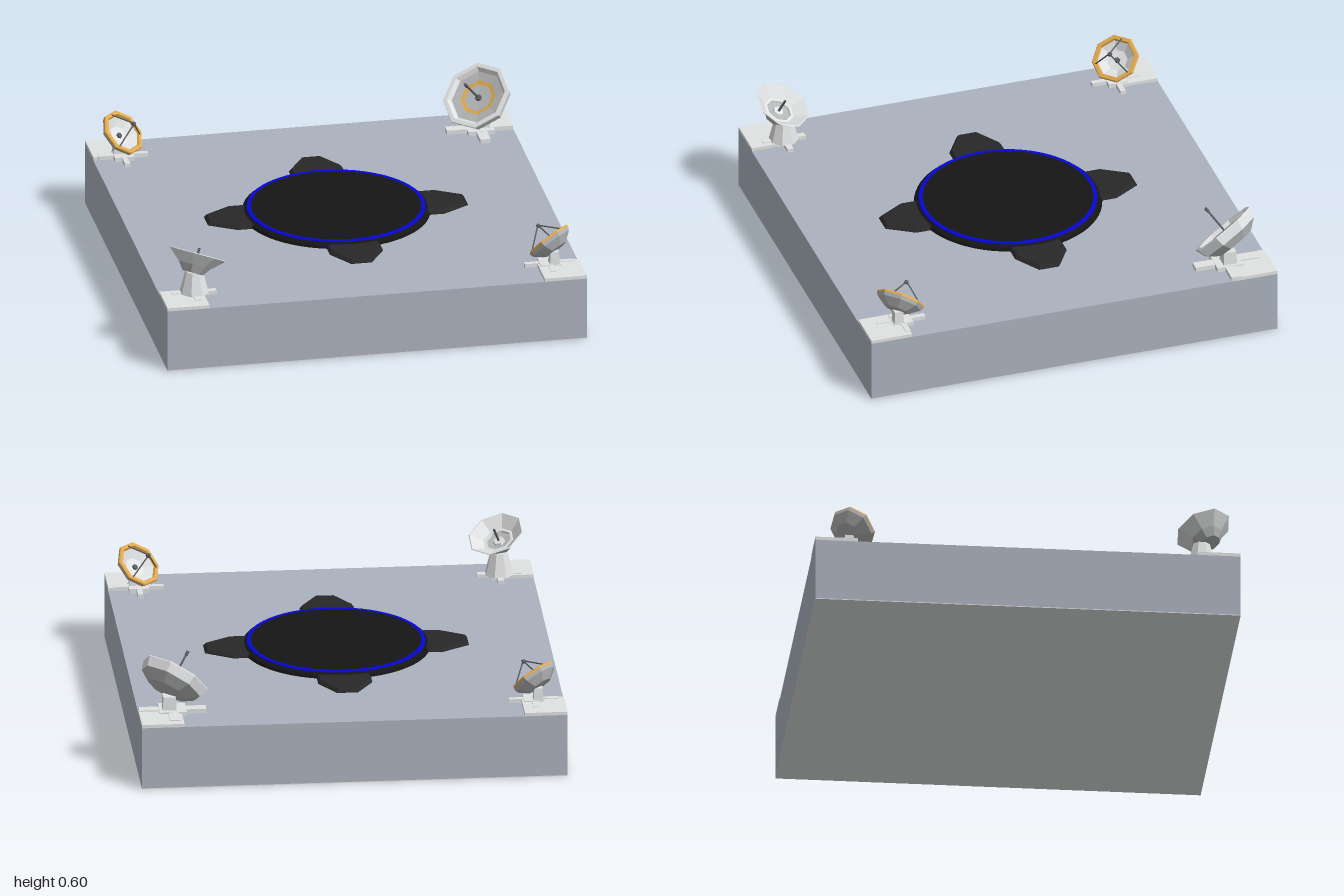
import * as THREE from 'three';

const paint = (name, color) => {
  const m = new THREE.MeshStandardMaterial({ color, flatShading: true });
  m.name = name;
  return m;
};

export function createModel() {
  const mat = {
    slab: paint('blue grey', 0xabb2be),
    pale: paint('pale grey', 0xe0e1e2),
    panel: paint('panel grey', 0xb4b5b6),
    steel: paint('dark steel', 0x5c5e63),
    gold: paint('gold', 0xe0a84c),
    black: paint('black', 0x151515),
    char: paint('charcoal', 0x282828),
    blue: paint('blue', 0x0606d8),
  };
  const model = new THREE.Group();
  const add = (parent, name, geo, material, x = 0, y = 0, z = 0) => {
    const m = new THREE.Mesh(geo, material);
    m.name = name;
    m.position.set(x, y, z);
    parent.add(m);
    return m;
  };
  const lathe = (pts, sides, phi = 0) =>
    new THREE.LatheGeometry(pts.map(p => new THREE.Vector2(...p)), sides, phi);

  // Slab with a pale underside, and a pad in each corner
  add(model, 'slab', new THREE.BoxGeometry(2, 0.301, 2), mat.slab, 0, 0.1545, 0);
  add(model, 'underside', new THREE.BoxGeometry(2, 0.004, 2), mat.pale, 0, 0.002, 0);
  for (const sx of [-1, 1]) for (const sz of [-1, 1])
    add(model, 'cornerPad', new THREE.BoxGeometry(0.2, 0.017, 0.2), mat.pale, sx * 0.9, 0.3125, sz * 0.9);

  // Central round platform with a blue ring
  add(model, 'platformEdge', lathe([[0.442, 0.304], [0.438, 0.318], [0.415, 0.333], [0, 0.333]], 64), mat.black);
  add(model, 'platformTop', new THREE.CylinderGeometry(0.402, 0.402, 0.003, 64), mat.black, 0, 0.3335, 0);
  add(model, 'blueRing', lathe([[0.42, 0.329], [0.418, 0.336], [0.4, 0.336], [0.4, 0.331]], 64), mat.blue);

  // Four tapered arms with a bevelled rim
  const armShape = new THREE.Shape([
    [-0.115, 0.36], [0.115, 0.36], [0.115, 0.49], [0.042, 0.608], [-0.042, 0.608], [-0.115, 0.49],
  ].map(p => new THREE.Vector2(...p)));
  const armGeo = new THREE.ExtrudeGeometry(armShape, {
    depth: 0.004, bevelEnabled: true, bevelThickness: 0.015, bevelSize: 0.012, bevelSegments: 1,
  });
  armGeo.rotateX(Math.PI / 2);
  for (let i = 0; i < 4; i++)
    add(model, 'platformArm', armGeo, mat.char, 0, 0.308, 0).rotation.y = i * Math.PI / 2;

  // Bar between two points
  const bar = (parent, name, a, b, r, material) => {
    const from = new THREE.Vector3(...a), d = new THREE.Vector3(...b).sub(from);
    const m = add(parent, name, new THREE.CylinderGeometry(r, r, d.length(), 5), material);
    m.position.copy(from).addScaledVector(d, 0.5);
    m.quaternion.setFromUnitVectors(new THREE.Vector3(0, 1, 0), d.normalize());
  };

  // Group whose local y axis points towards the platform; its origin is the rim centre
  const aim = (name, x, y, z, elevation) => {
    const g = new THREE.Group();
    g.name = name;
    g.position.set(x, y, z);
    g.rotation.order = 'YXZ';
    g.rotation.set(Math.PI / 2 - elevation, Math.atan2(-Math.sign(x), -Math.sign(z)), 0);
    model.add(g);
    return g;
  };

  // Cross-shaped foot
  const foot = (x, z, reach, width, top) => {
    const h = top - 0.304, y = 0.304 + h / 2;
    add(model, 'footBar', new THREE.BoxGeometry(reach * 2, h, width), mat.pale, x, y, z);
    add(model, 'footBar', new THREE.BoxGeometry(width, h, reach * 2), mat.pale, x, y, z);
    add(model, 'footPlate', new THREE.BoxGeometry(reach * 0.8, h + 0.003, reach * 0.8), mat.pale, x, y, z);
  };
  const post = (x, z, top, rTop, rBase, sides) =>
    add(model, 'post', new THREE.CylinderGeometry(rTop, rBase, top - 0.32, sides), mat.pale, x, (top + 0.32) / 2, z)
      .rotation.y = Math.PI / sides;
  const P8 = Math.PI / 8;

  // Two small gold-rimmed dishes with tripods, at opposite corners
  for (const s of [-1, 1]) {
    const x = s * 0.857, z = s * 0.81;
    foot(x, z, 0.118, 0.025, 0.324);
    post(x + s * 0.02, z + s * 0.02, 0.385, 0.028, 0.034, 4);
    const g = aim('smallDish', x, 0.432, z, 0.77);
    add(g, 'dishBack', lathe([[0, -0.055], [0.06, -0.055], [0.108, -0.02], [0.116, -0.004]], 8, P8), mat.panel);
    add(g, 'goldRim', lathe([[0.116, -0.004], [0.116, 0.003], [0.112, 0.008], [0.096, 0.008], [0.091, -0.004]], 8, P8), mat.gold);
    add(g, 'dishInside', lathe([[0.091, -0.004], [0.05, -0.03], [0, -0.034]], 8, P8), mat.pale);
    add(g, 'hub', new THREE.CylinderGeometry(0.014, 0.014, 0.012, 6), mat.steel, 0, -0.03, 0);
    add(g, 'feed', new THREE.CylinderGeometry(0.008, 0.012, 0.016, 6), mat.steel, 0, 0.085, 0);
    for (let i = 0; i < 3; i++) {
      const a = Math.PI + i * Math.PI * 2 / 3;
      bar(g, 'strut', [0.1 * Math.sin(a), 0.004, 0.1 * Math.cos(a)], [0, 0.088, 0], 0.0035, mat.steel);
    }
  }

  // Large shallow dish with a gold inlay
  foot(0.84, -0.8, 0.158, 0.05, 0.326);
  post(0.855, -0.805, 0.392, 0.042, 0.046, 4);
  const big = aim('largeDish', 0.825, 0.487, -0.79, 0.77);
  add(big, 'dishBack', lathe([[0, -0.085], [0.1, -0.085], [0.155, -0.045]], 8, P8), mat.panel);
  add(big, 'dishRim', lathe([[0.155, -0.045], [0.17, 0], [0.168, 0.005], [0.148, 0.005], [0.132, -0.014]], 8, P8), mat.pale);
  add(big, 'dishInside', lathe([[0.132, -0.014], [0.089, -0.021]], 8, P8), mat.panel);
  add(big, 'goldInlay', lathe([[0.089, -0.021], [0.07, -0.024]], 8, P8), mat.gold);
  add(big, 'dishCentre', lathe([[0.07, -0.024], [0, -0.028]], 8, P8), mat.panel);
  bar(big, 'feedRod', [0, -0.03, 0], [0, 0.12, 0], 0.005, mat.steel);
  add(big, 'feedTip', new THREE.CylinderGeometry(0.008, 0.008, 0.022, 6), mat.steel, 0, 0.12, 0);
  add(big, 'feedBase', new THREE.CylinderGeometry(0.014, 0.018, 0.014, 6), mat.steel, 0, -0.022, 0);

  // Medium dish with flared petals on a tapered mast
  foot(-0.84, 0.83, 0.105, 0.03, 0.324);
  post(-0.84, 0.83, 0.43, 0.042, 0.07, 8);
  const mid = aim('mediumDish', -0.825, 0.515, 0.84, 1.08);
  add(mid, 'dishBack', lathe([[0, -0.09], [0.05, -0.09], [0.078, -0.052]], 8, P8), mat.panel);
  add(mid, 'dishPetals', lathe([[0.078, -0.052], [0.138, 0], [0.133, 0.003], [0.076, -0.04], [0.062, -0.04], [0.06, -0.05]], 8, P8), mat.pale);
  add(mid, 'dishInside', lathe([[0.06, -0.05], [0, -0.058]], 8, P8), mat.panel);
  add(mid, 'hub', new THREE.CylinderGeometry(0.026, 0.032, 0.016, 6), mat.pale, 0, -0.05, 0);
  bar(mid, 'feedRod', [0, -0.05, 0], [0, 0.03, 0], 0.006, mat.steel);

  return model;
}
